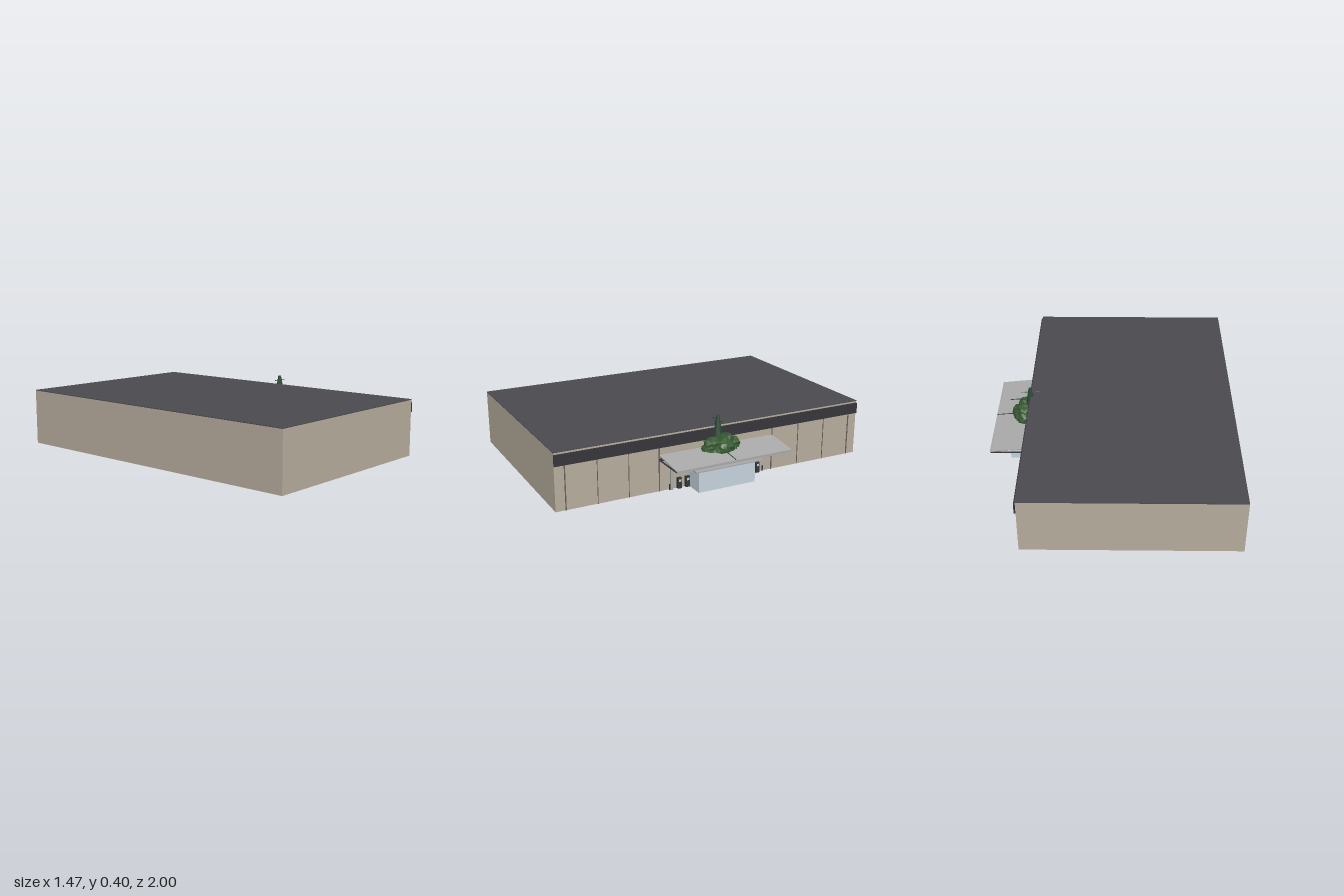
import * as THREE from 'three';

const mat = (color, extra = {}) => new THREE.MeshStandardMaterial({ color, ...extra });
const tan = mat(0xb5ab9c), roofGrey = mat(0x4a494e), dark = mat(0x36363a), seamGrey = mat(0x6b645b);
const metal = mat(0xa9a9a9), glass = mat(0xc5d1dc), brick = mat(0x8a5f4c), pale = mat(0xc4ced6);
const leaf = mat(0x35592f, { flatShading: true }), bark = mat(0x2c4a36, { flatShading: true });

export function createModel() {
  const model = new THREE.Group();

  const add = (name, geometry, material, parent = model) => {
    const mesh = new THREE.Mesh(geometry, material);
    mesh.name = name;
    parent.add(mesh);
    return mesh;
  };
  // Box given by its minimum and maximum corners
  const box = (name, a, b, material, parent) => {
    const mesh = add(name, new THREE.BoxGeometry(b[0] - a[0], b[1] - a[1], b[2] - a[2]), material, parent);
    mesh.position.set((a[0] + b[0]) / 2, (a[1] + b[1]) / 2, (a[2] + b[2]) / 2);
    return mesh;
  };

  // Main hall with a flat roof and a dark fascia along the entrance side
  box('hall', [-0.735, 0, -1], [0.51, 0.341, 1], tan);
  box('roof', [-0.735, 0.341, -1], [0.512, 0.345, 1], roofGrey);
  box('fascia', [0.51, 0.265, -1], [0.52, 0.33, 1], dark);

  // Panel joints on the entrance wall
  for (let i = 2; i <= 5; i++) {
    for (const s of [-1, 1]) {
      const z = s * i * 0.188, w = i === 2 || i === 5 ? 0.003 : 0.0015;
      box('panelJoint', [0.509, 0, z - w], [0.514, 0.265, z + w], seamGrey);
    }
  }

  // Entrance vestibule
  box('vestibule', [0.51, 0, -0.185], [0.635, 0.135, 0.187], glass);
  box('vestibuleRoof', [0.51, 0.135, -0.218], [0.665, 0.142, 0.22], metal);
  box('brickBand', [0.509, 0.142, -0.165], [0.518, 0.19, 0.16], brick);

  // Sloping canopy with a front beam, side beams and slats below
  const canopy = new THREE.Group();
  canopy.name = 'canopy';
  model.add(canopy);
  const slope = new THREE.Shape([[0.51, 0.214], [0.73, 0.192], [0.73, 0.197], [0.51, 0.221]]
    .map(([x, y]) => new THREE.Vector2(x, y)));
  add('canopyDeck', new THREE.ExtrudeGeometry(slope, { depth: 0.75, bevelEnabled: false }), metal, canopy)
    .position.z = -0.375;
  box('frontBeam', [0.725, 0.184, -0.375], [0.731, 0.199, 0.375], metal, canopy);
  box('wallBeam', [0.51, 0.185, -0.375], [0.52, 0.2, 0.375], dark, canopy);
  for (let i = 0; i <= 10; i++) {
    const z = -0.37 + i * 0.074;
    box('slat', [0.51, 0.185, z - 0.004], [0.727, 0.19, z + 0.004], dark, canopy);
  }

  // Wall post and low guard stakes
  box('post', [0.512, 0, 0.294], [0.526, 0.187, 0.308], metal);
  for (const z of [-0.31, 0.314]) box('stake', [0.516, 0, z - 0.003], [0.522, 0.036, z + 0.003], dark);

  // Service machines beside the entrance
  for (const z of [-0.273, -0.216, 0.2, 0.252]) {
    box('machine', [0.51, 0, z - 0.013], [0.528, 0.065, z + 0.013], dark);
    box('machineScreen', [0.527, 0.042, z - 0.007], [0.53, 0.056, z + 0.007], pale);
  }

  // Faceted foliage clumps, roughened by a fixed wave
  const tree = new THREE.Group();
  tree.name = 'tree';
  model.add(tree);
  const clumps = [
    [0.565, 0.215, -0.01, 0.062, 0.065, 0.075], [0.56, 0.19, 0.065, 0.05, 0.04, 0.045],
    [0.56, 0.19, -0.065, 0.05, 0.042, 0.045], [0.55, 0.245, 0.055, 0.045, 0.045, 0.05],
    [0.55, 0.255, -0.035, 0.045, 0.045, 0.05], [0.595, 0.22, 0.01, 0.037, 0.045, 0.05],
    [0.55, 0.23, -0.08, 0.04, 0.045, 0.045], [0.55, 0.215, 0.09, 0.035, 0.035, 0.035],
  ];
  clumps.forEach(([x, y, z, sx, sy, sz], k) => {
    const g = new THREE.IcosahedronGeometry(1, 2);
    const p = g.attributes.position, v = new THREE.Vector3();
    for (let i = 0; i < p.count; i++) {
      v.fromBufferAttribute(p, i);
      v.multiplyScalar(1 + 0.1 * Math.sin(5 * v.x + k) * Math.cos(6 * v.y - k) + 0.06 * Math.sin(9 * v.z + 2 * k));
      p.setXYZ(i, v.x, v.y, v.z);
    }
    g.scale(sx, sy, sz);
    g.computeVertexNormals();
    add('foliage', g, leaf, tree).position.set(x, y, z);
  });

  // Tapered crown with thin branches
  add('crown', new THREE.CylinderGeometry(0.009, 0.032, 0.13, 8), bark, tree).position.set(0.513, 0.337, 0);
  const branch = (...points) => add('branch', new THREE.TubeGeometry(
    new THREE.CatmullRomCurve3(points.map((p) => new THREE.Vector3(...p))), 6, 0.0025, 5), bark, tree);
  branch([0.455, 0.373, 0.004], [0.51, 0.375, 0], [0.567, 0.372, -0.004]);
  branch([0.525, 0.31, 0], [0.58, 0.318, 0.002], [0.64, 0.314, 0]);
  branch([0.6, 0.21, 0], [0.66, 0.207, 0], [0.728, 0.2, 0]);

  return model;
}
